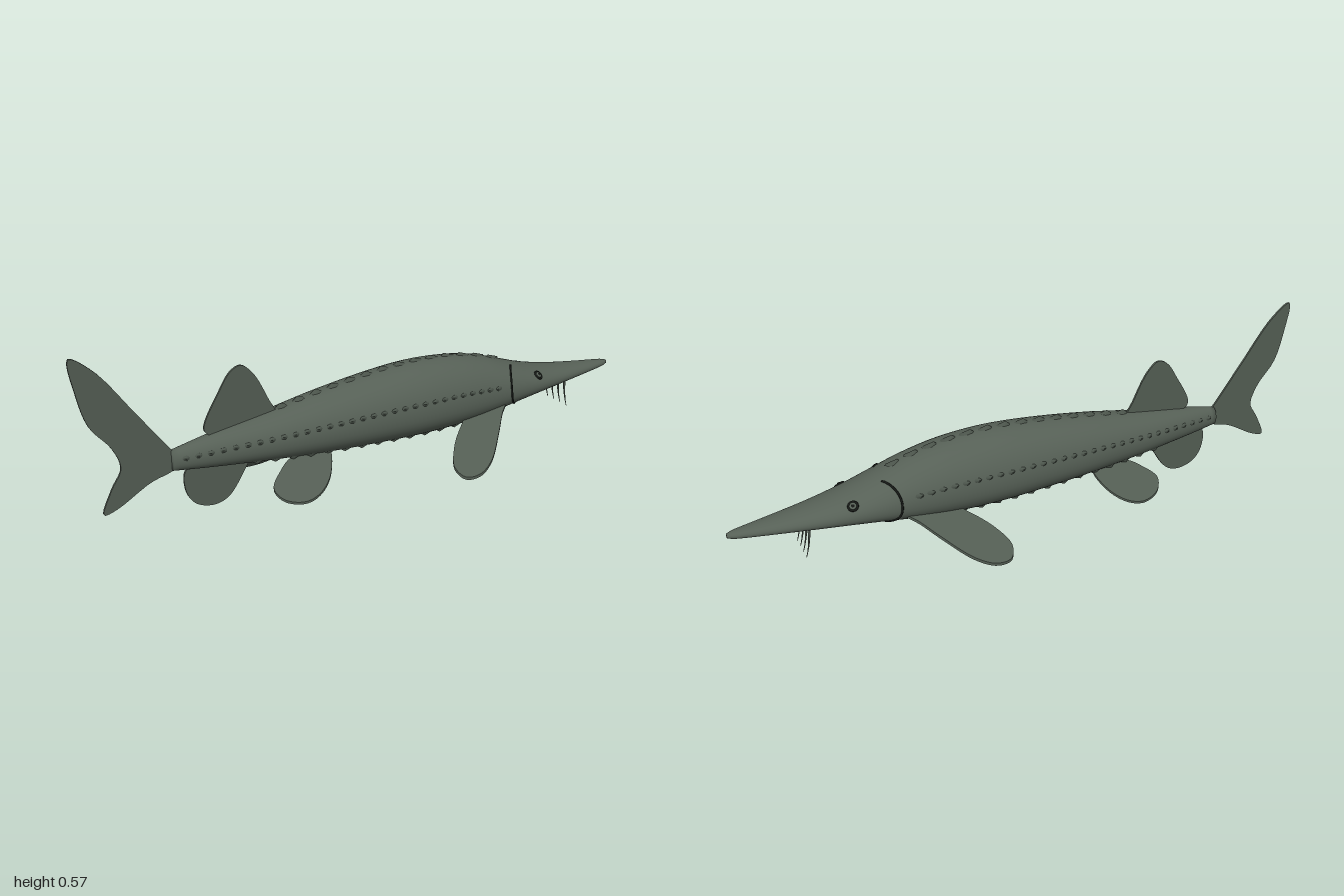
import * as THREE from 'three';

// Body stations: x, back height, belly height, half width, height of the widest line
const STATIONS = [
  [-0.72, 0.22, 0.155, 0.024, 0.185], [-0.6, 0.242, 0.14, 0.046, 0.187], [-0.4, 0.272, 0.12, 0.08, 0.19],
  [-0.2, 0.305, 0.104, 0.106, 0.192], [0, 0.329, 0.093, 0.122, 0.192], [0.15, 0.337, 0.088, 0.128, 0.19],
  [0.3, 0.327, 0.09, 0.124, 0.188], [0.42, 0.302, 0.101, 0.116, 0.184], [0.52, 0.268, 0.117, 0.107, 0.18],
  [0.62, 0.235, 0.13, 0.092, 0.174], [0.74, 0.209, 0.14, 0.069, 0.169], [0.87, 0.191, 0.149, 0.043, 0.167],
  [0.98, 0.179, 0.156, 0.018, 0.167], [1.0, 0.174, 0.16, 0.008, 0.167],
];

// Smooth interpolation between the stations
function station(x) {
  let i = 0;
  while (i < STATIONS.length - 2 && x > STATIONS[i + 1][0]) i++;
  const at = k => STATIONS[Math.min(Math.max(k, 0), STATIONS.length - 1)];
  const [p, a, b, n] = [at(i - 1), at(i), at(i + 1), at(i + 2)];
  const w = b[0] - a[0], t = (x - a[0]) / w;
  return [1, 2, 3, 4].map(c => {
    const ma = (b[c] - p[c]) / (b[0] - p[0]) * w, mb = (n[c] - a[c]) / (n[0] - a[0]) * w;
    const t2 = t * t, t3 = t2 * t;
    return (2 * t3 - 3 * t2 + 1) * a[c] + (t3 - 2 * t2 + t) * ma + (3 * t2 - 2 * t3) * b[c] + (t3 - t2) * mb;
  });
}

// Point on the skin: angle 0 is the left flank, PI / 2 the back
function skin(x, angle, scale = 1) {
  const [top, bottom, half, mid] = station(x);
  const c = Math.cos(angle), s = Math.sin(angle), power = s < 0 ? 0.88 : 1;
  const z = half * Math.sign(c) * Math.abs(c) ** power;
  const y = s > 0 ? s * (top - mid) : -(Math.abs(s) ** power) * (mid - bottom);
  return new THREE.Vector3(x, mid + y * scale, z * scale);
}

function skinNormal(x, angle) {
  const d = skin(x, angle + 0.02).sub(skin(x, angle - 0.02));
  return new THREE.Vector3(0, -d.z, d.y).normalize();
}

function bodyGeometry() {
  const rings = 90, sides = 48, pos = [], index = [];
  for (let i = -1; i <= rings + 1; i++) {
    const x = -0.72 + 1.72 * Math.min(Math.max(i / rings, 0), 1);
    const scale = i < 0 || i > rings ? 0 : 1;
    for (let j = 0; j < sides; j++) pos.push(...skin(x, j / sides * Math.PI * 2, scale).toArray());
  }
  for (let i = 0; i < rings + 2; i++) {
    for (let j = 0; j < sides; j++) {
      const a = i * sides + j, b = i * sides + (j + 1) % sides;
      index.push(a, a + sides, b, b, a + sides, b + sides);
    }
  }
  const g = new THREE.BufferGeometry();
  g.setAttribute('position', new THREE.Float32BufferAttribute(pos, 3));
  g.setIndex(index);
  g.computeVertexNormals();
  return g;
}

// Thin plate with a smooth outline, centred on its own plane
function finGeometry(points, thickness) {
  const curve = new THREE.CatmullRomCurve3(points.map(p => new THREE.Vector3(p[0], p[1], 0)), true, 'centripetal');
  const outline = curve.getPoints(64).slice(0, -1).map(p => new THREE.Vector2(p.x, p.y));
  const g = new THREE.ExtrudeGeometry(new THREE.Shape(outline), { depth: thickness, bevelEnabled: false });
  return g.translate(0, 0, -thickness / 2);
}

// Lay an (x, z) fin plate out to one side, sloping down and outward
function layFin(g, side, y0, z0, slope, x0, tilt) {
  const p = g.attributes.position;
  for (let i = 0; i < p.count; i++) {
    const x = p.getX(i), out = p.getY(i), d = p.getZ(i);
    p.setXYZ(i, x, y0 - slope * (out - z0) + tilt * (x - x0) - side * d, side * out);
  }
  g.computeVertexNormals();
  return g;
}

export function createModel() {
  const root = new THREE.Group();
  const material = (name, color, side = THREE.FrontSide) => {
    const m = new THREE.MeshStandardMaterial({ color, side });
    m.name = name;
    return m;
  };
  const skinMat = material('olive grey skin', 0x566056);
  const finMat = material('olive grey fin', 0x535d53, THREE.DoubleSide);
  const scuteMat = material('dark scute', 0x4a534a);
  const darkMat = material('near black', 0x151815);
  const add = (name, geometry, mat, parent = root) => {
    const m = new THREE.Mesh(geometry, mat);
    m.name = name;
    parent.add(m);
    return m;
  };

  add('body', bodyGeometry(), skinMat);

  // Fins on the centre line
  add('tailFin', finGeometry([[-1, 0.565], [-0.93, 0.515], [-0.82, 0.365], [-0.715, 0.22], [-0.69, 0.19],
    [-0.71, 0.158], [-0.79, 0.132], [-0.9, 0.072], [-0.94, 0.064], [-0.91, 0.14], [-0.877, 0.2],
    [-0.9, 0.27], [-0.96, 0.35], [-0.99, 0.46]], 0.007), finMat);
  add('dorsalFin', finGeometry([[-0.61, 0.262], [-0.555, 0.375], [-0.515, 0.432], [-0.48, 0.446], [-0.44, 0.412],
    [-0.39, 0.315], [-0.365, 0.255], [-0.48, 0.235], [-0.58, 0.235]], 0.007), finMat);
  add('analFin', finGeometry([[-0.675, 0.145], [-0.68, 0.075], [-0.65, 0.025], [-0.59, 0.005], [-0.54, 0.02],
    [-0.49, 0.085], [-0.465, 0.14], [-0.57, 0.16]], 0.007), finMat);

  // Paired fins, outlined as x against distance from the centre line
  const pectoral = [[0.47, 0.09], [0.43, 0.125], [0.38, 0.175], [0.3, 0.245], [0.235, 0.271], [0.18, 0.262],
    [0.164, 0.225], [0.2, 0.17], [0.26, 0.12], [0.32, 0.085]];
  const pelvic = [[-0.21, 0.06], [-0.235, 0.115], [-0.29, 0.155], [-0.355, 0.166], [-0.42, 0.142],
    [-0.436, 0.11], [-0.395, 0.075], [-0.34, 0.05]];
  for (const side of [1, -1]) {
    const label = side > 0 ? 'left' : 'right';
    add(label + 'PectoralFin', layFin(finGeometry(pectoral, 0.01), side, 0.13, 0.1, 0.69, 0.3, 0.1), finMat);
    add(label + 'PelvicFin', layFin(finGeometry(pelvic, 0.008), side, 0.107, 0.07, 0.87, -0.3, 0.08), finMat);

    // Gill slit drawn on the skin
    const gill = [];
    for (let i = 0; i <= 14; i++) {
      const a = 1.15 - i / 14 * 2.05, bow = (a - 0.15) / 1.05;
      gill.push(skin(0.48 + 0.045 * bow * bow, side > 0 ? a : Math.PI - a, 1.005));
    }
    add(label + 'GillSlit', new THREE.TubeGeometry(new THREE.CatmullRomCurve3(gill), 40, 0.0035, 6), darkMat);

    // Eye: dark rim, iris and pupil
    const eye = new THREE.Group();
    eye.name = label + 'Eye';
    const angle = side > 0 ? 0.68 : Math.PI - 0.68;
    eye.position.copy(skin(0.625, angle));
    const n = skinNormal(0.625, angle).add(new THREE.Vector3(0.3, 0, 0)).normalize();
    eye.quaternion.setFromUnitVectors(new THREE.Vector3(0, 0, 1), n);
    add('eyeRim', new THREE.TorusGeometry(0.014, 0.004, 8, 24), darkMat, eye);
    add('iris', new THREE.SphereGeometry(0.013, 20, 12), skinMat, eye).scale.z = 0.4;
    add('pupil', new THREE.SphereGeometry(0.007, 16, 10), darkMat, eye).scale.z = 1;
    root.add(eye);
  }

  // Rows of bony scutes, each with its peak leaning back
  const scute = new THREE.ConeGeometry(1, 1, 8);
  scute.translate(0, 0.3, 0);
  const sp = scute.attributes.position;
  for (let i = 0; i < sp.count; i++) sp.setX(i, sp.getX(i) - 0.5 * Math.max(sp.getY(i), 0));
  scute.computeVertexNormals();
  const scuteRow = (name, angle, from, to, step, length, height, width) => {
    const row = new THREE.Group();
    row.name = name;
    for (let x = from; x <= to; x += step) {
      const m = add('scute', scute, scuteMat, row);
      m.position.copy(skin(x, angle));
      m.quaternion.setFromUnitVectors(new THREE.Vector3(0, 1, 0), skinNormal(x, angle));
      m.scale.set(length, height, width);
    }
    root.add(row);
  };
  scuteRow('dorsalScutes', Math.PI / 2, -0.34, 0.47, 0.062, 0.03, 0.014, 0.014);
  for (const [label, flip] of [['left', a => a], ['right', a => Math.PI - a]]) {
    scuteRow(label + 'FlankScutes', flip(0.28), -0.68, 0.45, 0.038, 0.015, 0.008, 0.009);
    scuteRow(label + 'BellyScutes', flip(-0.95), -0.45, 0.32, 0.06, 0.022, 0.009, 0.01);
  }

  // Mouth under the head
  const mouth = add('mouth', new THREE.SphereGeometry(1, 28, 14), darkMat);
  mouth.scale.set(0.058, 0.006, 0.034);
  mouth.position.set(0.628, 0.129, 0);

  // Four tapering barbels under the snout
  for (const z of [-0.052, -0.017, 0.017, 0.052]) {
    const g = new THREE.CylinderGeometry(0.0045, 0.001, 0.1, 8, 6);
    const p = g.attributes.position;
    for (let i = 0; i < p.count; i++) p.setX(i, p.getX(i) + 1.6 * (0.05 - p.getY(i)) ** 2);
    g.computeVertexNormals();
    add('barbel', g, skinMat).position.set(0.763, 0.106, z);
  }
  return root;
}
